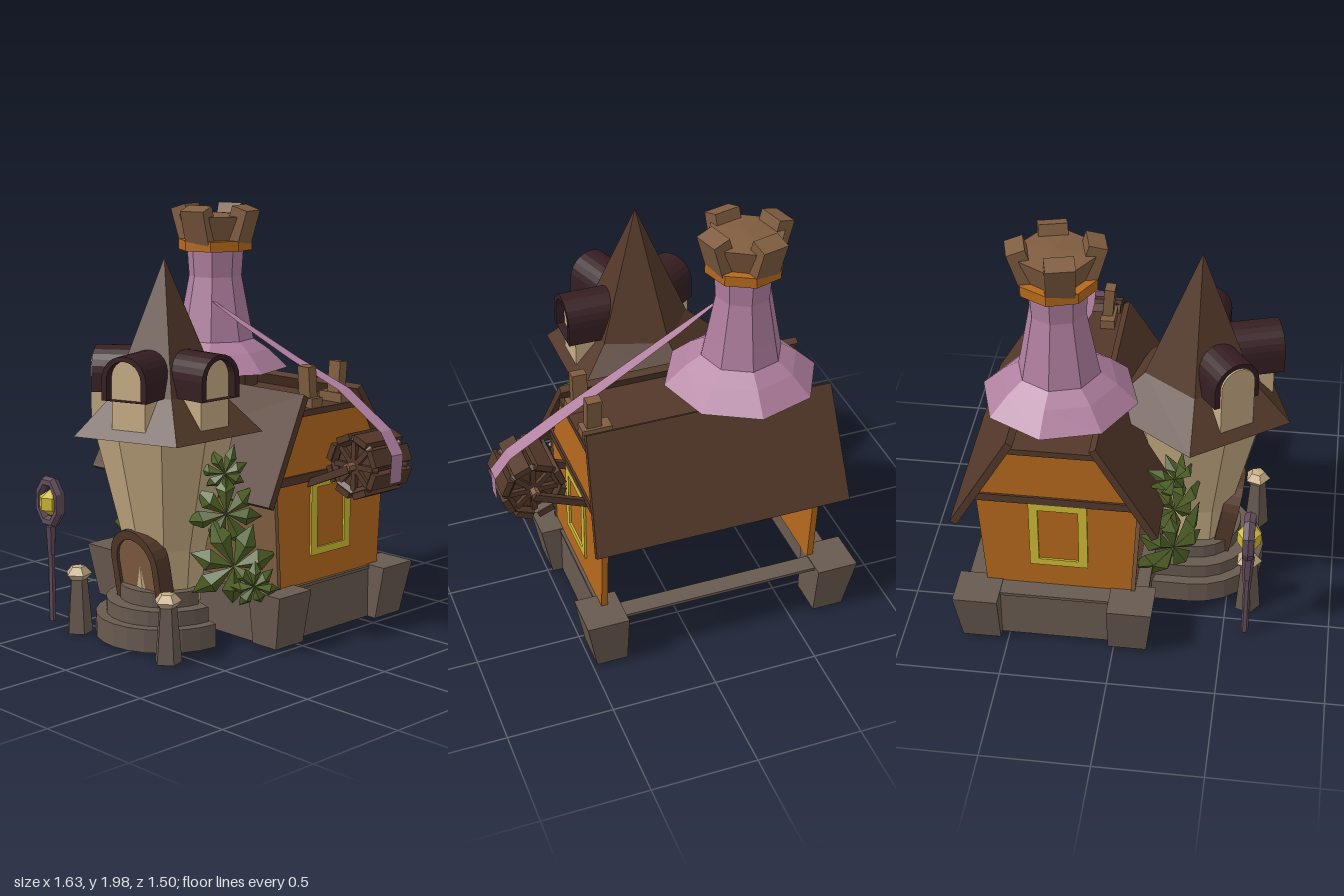
import * as THREE from 'three';

const flat = (name, color, side = THREE.FrontSide) =>
  Object.assign(new THREE.MeshStandardMaterial({ color, flatShading: true, side }), { name });

export function createModel() {
  const root = new THREE.Group();
  root.name = 'cottage';
  const stone = flat('stone', 0x685a50, THREE.DoubleSide);
  const orange = flat('orange plaster', 0xb6691d);
  const roofWood = flat('dark roof wood', 0x533829);
  const wood = flat('wood', 0x805d40);
  const maroon = flat('maroon shingle', 0x351e22);
  const purple = flat('purple', 0xb07f9f, THREE.DoubleSide);
  const lampMetal = flat('lamp metal', 0x624c5b);
  const tan = flat('tan plaster', 0xc6ac84);
  const yellow = flat('yellow', 0xcfbb35);
  const green = flat('leaf green', 0x4f6126, THREE.DoubleSide);

  const add = (name, geo, mat, pos = [0, 0, 0], rot = [0, 0, 0], parent = root) => {
    const m = new THREE.Mesh(geo, mat);
    m.name = name;
    m.position.set(...pos);
    m.rotation.set(...rot);
    parent.add(m);
    return m;
  };
  const box = (w, h, d) => new THREE.BoxGeometry(w, h, d);
  // box given by its limits
  const span = (name, mat, x0, x1, y0, y1, z0, z1) =>
    add(name, box(x1 - x0, y1 - y0, z1 - z0), mat, [(x0 + x1) / 2, (y0 + y1) / 2, (z0 + z1) / 2]);
  const poly = pts => new THREE.Shape(pts.map(p => new THREE.Vector2(...p)));
  const extrude = (shape, depth) =>
    new THREE.ExtrudeGeometry(shape, { depth, bevelEnabled: false, curveSegments: 6 });
  const lathe = (pts, sides) => new THREE.LatheGeometry(pts.map(p => new THREE.Vector2(...p)), sides);
  const rect = (x0, x1, y0, y1) => poly([[x0, y0], [x1, y0], [x1, y1], [x0, y1]]);
  // upright arch outline: half width w, from y0 to the crown at y1
  const arch = (w, y0, y1) => {
    const s = new THREE.Shape();
    s.moveTo(-w, y0);
    s.lineTo(w, y0);
    s.lineTo(w, y1 - w);
    s.absarc(0, y1 - w, w, 0, Math.PI, false);
    s.lineTo(-w, y0);
    return s;
  };

  // stone base: open at the back, with a ledge and flared corner blocks
  const CX = -0.145, CZ = -0.28;
  span('baseFront', stone, -0.72, 0.42, 0.03, 0.28, 0.1, 0.14);
  span('baseRight', stone, 0.4, 0.43, 0.03, 0.28, -0.68, 0.12);
  span('baseLeft', stone, -0.73, -0.7, 0.03, 0.28, -0.68, 0.12);
  const ledge = rect(-0.74, 0.435, -0.15, 0.7);
  ledge.holes.push(rect(-0.63, 0.38, -0.05, 0.61));
  add('baseLedge', extrude(ledge, 0.015), stone, [0, 0.27, 0], [-Math.PI / 2, 0, 0]);
  for (const sx of [-1, 1]) for (const sz of [-1, 1]) {
    const g = box(0.2, 0.26, 0.21), p = g.attributes.position;
    for (let i = 0; i < p.count; i++) if (p.getY(i) < 0) {
      if (p.getX(i) * sx > 0) p.setX(i, p.getX(i) - 0.05 * sx);
      if (p.getZ(i) * sz > 0) p.setZ(i, p.getZ(i) - 0.03 * sz);
    }
    add('baseCorner', g, stone, [CX + sx * 0.575, 0.16, CZ + sz * 0.36]);
  }

  // gable ends with beam and window, front wall
  const gable = poly([[-0.07, 0.28], [0.61, 0.28], [0.64, 0.77], [0.475, 1.1], [0.065, 1.1], [-0.1, 0.77]]);
  const frame = rect(0.13, 0.4, 0.41, 0.77);
  frame.holes.push(rect(0.172, 0.358, 0.445, 0.735));
  for (const [x, out] of [[0.39, 0.418], [-0.65, -0.66]]) {
    add('gableWall', extrude(gable, 0.03), orange, [x, 0, 0], [0, Math.PI / 2, 0]);
    add('windowFrame', extrude(frame, 0.012), yellow, [out, 0, 0], [0, Math.PI / 2, 0]);
    span('gableBeam', roofWood, x - 0.01, x + 0.04, 0.77, 0.81, -0.645, 0.105);
  }
  add('frontWall', box(1.085, 0.5, 0.02), wood, [-0.115, 0.53, 0.094], [0.06, 0, 0]);

  // roof: two slabs and a flat deck between them
  for (const s of [1, -1]) {
    const slab = poly([[-0.75 * s, 0], [0.48 * s, 0], [0.43 * s, 0.55], [-0.75 * s, 0.55]]);
    const g = extrude(slab, 0.035).rotateX(-0.528);
    add('roofSlope', g, roofWood, [0, 0.69, -0.27 + s * 0.445], [0, s > 0 ? 0 : Math.PI, 0]);
  }
  span('roofDeck', roofWood, -0.7, 0.43, 1.08, 1.11, -0.47, -0.07);

  // chimney with wide skirt, ring and crown
  const chimney = new THREE.Group();
  chimney.name = 'chimney';
  chimney.position.set(-0.375, 0, -0.285);
  root.add(chimney);
  const onChimney = (name, geo, mat, pos, rot) => add(name, geo, mat, pos, rot, chimney);
  onChimney('chimneyFoot', new THREE.CylinderGeometry(0.21, 0.21, 0.14, 8), roofWood, [0, 1.15, 0]);
  onChimney('chimneyStack', lathe([[0.2, 1.2], [0.36, 1.2], [0.265, 1.29], [0.19, 1.34], [0.17, 1.44],
    [0.13, 1.65], [0.14, 1.79]], 8), purple, [0, 0, 0], [0, -0.1, 0]);
  onChimney('chimneyRing', new THREE.CylinderGeometry(0.182, 0.182, 0.05, 8), orange, [0, 1.803, 0], [0, -0.1, 0]);
  onChimney('crownCore', lathe([[0.13, 1.8], [0.178, 1.945], [0, 1.96]], 8), wood, [0, 0, 0], [0, -0.14, 0]);
  for (let i = 0; i < 4; i++) {
    const arm = new THREE.Group();
    arm.name = 'crownBlock';
    arm.rotation.y = 0.25 + i * Math.PI / 2;
    chimney.add(arm);
    add('crownTooth', box(0.13, 0.18, 0.085), wood, [0, 1.9, 0.15], [0.3, 0, 0], arm);
  }

  // cloth belt running from the chimney over the posts to the wheel
  const path = [[-0.3, 1.55, -0.175, 0.008], [-0.1, 1.45, -0.2, 0.022], [0.2, 1.31, -0.24, 0.03], [0.48, 1.19, -0.285, 0.037],
    [0.74, 1.03, -0.285, 0.038], [0.815, 0.93, -0.28, 0.04], [0.81, 0.8, -0.275, 0.04]];
  const bp = [], bi = [];
  path.forEach(([x, y, z, w], i) => {
    bp.push(x, y, z + w, x, y, z - w);
    const k = i * 2;
    if (i < path.length - 1) bi.push(k, k + 2, k + 1, k + 1, k + 2, k + 3);
  });
  const belt = new THREE.BufferGeometry();
  belt.setAttribute('position', new THREE.Float32BufferAttribute(bp, 3));
  belt.setIndex(bi);
  belt.computeVertexNormals();
  add('belt', belt, purple);
  for (const z of [-0.165, -0.365]) {
    add('beltPost', box(0.07, 0.2, 0.05), wood, [0.365, 1.2, z], [z < -0.3 ? -0.08 : 0.08, 0, 0]);
    add('beltPostFoot', box(0.14, 0.05, 0.07), wood, [0.355, 1.13, z]);
  }

  // slatted wheel with a solid drum, hung on two brackets
  const wheel = new THREE.Group();
  wheel.name = 'wheel';
  wheel.position.set(0.655, 0.87, -0.27);
  root.add(wheel);
  add('wheelDrum', new THREE.CylinderGeometry(0.115, 0.115, 0.17, 8), roofWood, [0, 0, 0], [Math.PI / 2, 0, 0], wheel);
  for (const z of [-0.1, 0.1]) {
    add('wheelRim', new THREE.TorusGeometry(0.125, 0.02, 4, 8), roofWood, [0, 0, z], [0, 0, 0], wheel);
    for (let i = 0; i < 4; i++) add('wheelSpoke', box(0.25, 0.025, 0.02), roofWood, [0, 0, z], [0, 0, i * Math.PI / 4], wheel);
  }
  for (let i = 0; i < 8; i++) {
    const a = (i + 0.5) * Math.PI / 4;
    add('wheelSlat', box(0.03, 0.08, 0.25), roofWood, [0.132 * Math.cos(a), 0.132 * Math.sin(a), 0], [0, 0, a], wheel);
  }
  add('wheelAxle', new THREE.CylinderGeometry(0.022, 0.022, 0.31, 6), wood, [0, 0, 0], [Math.PI / 2, 0, 0], wheel);
  for (const z of [-0.145, 0.145]) add('wheelBracket', box(0.28, 0.035, 0.025), roofWood, [-0.12, -0.06, z], [0, 0, 0.4], wheel);

  // round tower with pentagonal roof
  const tower = new THREE.Group();
  tower.name = 'tower';
  tower.position.set(-0.08, 0, 0.32);
  root.add(tower);
  add('towerWall', lathe([[0.17, 0.2], [0.2, 0.47], [0.335, 1.02]], 10), tan, [0, 0, 0], [0, 0.15, 0], tower);
  add('towerRoof', lathe([[0, 1.03], [0.455, 1.01], [0.26, 1.19], [0, 1.8]], 5), roofWood, [0, 0, 0], [0, -Math.PI / 10, 0], tower);

  // three arched dormers on the roof faces
  const hood = arch(0.115, 1.19, 1.395);
  hood.holes.push(arch(0.088, 1.191, 1.372));
  for (let i = 0; i < 3; i++) {
    const d = new THREE.Group();
    d.name = 'dormer';
    d.rotation.y = Math.PI / 2 - i * Math.PI * 0.4;
    tower.add(d);
    add('dormerWindow', extrude(arch(0.086, 1.05, 1.373), 0.27), tan, [0, 0, 0.06], [0, 0, 0], d);
    add('dormerHood', extrude(hood, i === 2 ? 0.21 : 0.26), maroon, [0, 0, 0.11], [0, 0, 0], d);
  }

  // leaning arched door
  const doorFrame = arch(0.16, 0, 0.38);
  doorFrame.holes.push(arch(0.12, 0.001, 0.335));
  add('doorFrame', extrude(doorFrame, 0.08), roofWood, [0.005, 0.2, 0.09], [0.17, 0, 0], tower);
  add('door', extrude(arch(0.125, 0, 0.34), 0.065), wood, [0.005, 0.2, 0.09], [0.17, 0, 0], tower);

  // rounded steps, straight against the base
  for (const [r, y0, y1] of [[0.335, 0.03, 0.14], [0.285, 0.14, 0.21], [0.22, 0.21, 0.28]]) {
    const s = new THREE.Shape();
    s.moveTo(r, -0.18);
    s.absarc(0, 0, r, 0, Math.PI, false);
    s.lineTo(-r, -0.18);
    add('step', extrude(s, y1 - y0), stone, [0, y1, 0], [Math.PI / 2, 0, 0], tower);
  }

  // step pillars with pale caps
  for (const x of [-0.39, 0.235]) {
    add('pillar', new THREE.CylinderGeometry(0.042, 0.065, 0.27, 5), stone, [x, 0.155, 0.6]);
    add('pillarCap', lathe([[0.035, 0.27], [0.065, 0.305], [0.035, 0.34], [0, 0.347]], 5), tan, [x, 0, 0.6]);
  }

  // lamp post with oval ring
  const LX = -0.585, LZ = 0.605;
  add('lampPole', new THREE.CylinderGeometry(0.017, 0.017, 0.33, 6), lampMetal, [LX, 0.195, LZ]);
  add('lampNeck', new THREE.CylinderGeometry(0.03, 0.02, 0.16, 6).scale(0.65, 1, 1), lampMetal, [LX, 0.42, LZ]);
  add('lampRing', new THREE.TorusGeometry(0.07, 0.018, 6, 8).rotateZ(Math.PI / 8).scale(1.05, 1.48, 1.7), lampMetal, [LX, 0.62, LZ]);
  add('lantern', lathe([[0, 0.55], [0.055, 0.585], [0.055, 0.645], [0, 0.68]], 6), yellow, [LX, 0, LZ]);

  // creeper leaves: seven folded leaflets in a fan
  const leafFan = r => {
    const v = [];
    for (let i = 0; i < 7; i++) {
      const a = i * Math.PI * 2 / 7 + 0.22, len = r * (i % 2 ? 1 : 0.85);
      const at = (l, w, z) => [l * Math.cos(a) - w * Math.sin(a), l * Math.sin(a) + w * Math.cos(a), z];
      const base = at(0, 0, 0.03), rib = at(len * 0.55, 0, 0.05), tip = at(len, 0, -0.03);
      const l = at(len * 0.6, r * 0.22, 0.01), q = at(len * 0.6, -r * 0.22, 0.01);
      for (const t of [base, q, rib, rib, q, tip, base, rib, l, rib, tip, l]) v.push(...t);
    }
    const g = new THREE.BufferGeometry();
    g.setAttribute('position', new THREE.Float32BufferAttribute(v, 3));
    g.computeVertexNormals();
    return g;
  };
  const leaves = [[0.26, 0.85, 0.27, 0.13], [0.26, 0.66, 0.26, 0.2], [0.3, 0.42, 0.25, 0.24], [0.4, 0.34, 0.22, 0.13],
    [-0.46, 0.84, 0.23, 0.14], [-0.44, 0.64, 0.23, 0.2], [-0.45, 0.42, 0.23, 0.24]];
  leaves.forEach(([x, y, z, r], i) =>
    add('creeperLeaf', leafFan(r), green, [x, y, z], [0.12, Math.sign(x) * 0.85, i * 0.4]));

  return root;
}
